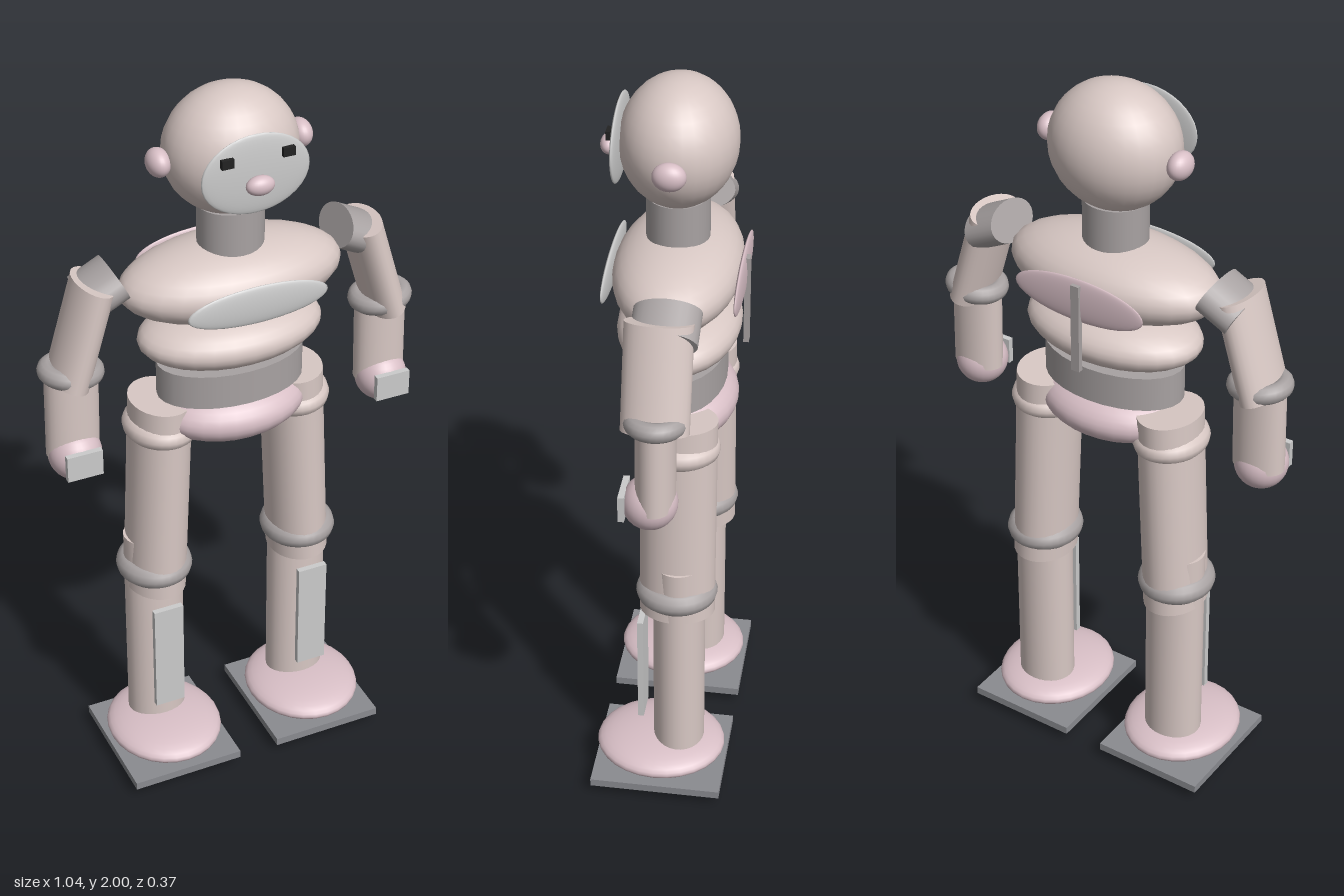
import * as THREE from 'three';

const material = (color) => new THREE.MeshStandardMaterial({ color });

export function createModel() {
  const skin = material(0xd8c8c4);
  const pink = material(0xd8bfc6);
  const joint = material(0xa8a2a2);
  const plate = material(0xcccccc);
  const sole = material(0x8a8b90);
  const black = material(0x222222);

  const model = new THREE.Group();
  model.name = 'robot';

  function add(parent, name, geometry, mat, x, y, z) {
    const mesh = new THREE.Mesh(geometry, mat);
    mesh.name = name;
    mesh.position.set(x, y, z);
    parent.add(mesh);
    return mesh;
  }

  // Ellipsoid from centre and radii
  const ball = (parent, name, mat, [x, y, z], [rx, ry, rz]) =>
    add(parent, name, new THREE.SphereGeometry(1, 28, 18).scale(rx, ry, rz), mat, x, y, z);

  const box = (parent, name, mat, [x, y, z], [w, h, d]) =>
    add(parent, name, new THREE.BoxGeometry(w, h, d), mat, x, y, z);

  // Oval tube running between two points at a fixed depth z
  function tube(parent, name, mat, [x0, y0], [x1, y1], z, rx, rz) {
    const length = Math.hypot(x1 - x0, y1 - y0);
    const geometry = new THREE.CylinderGeometry(1, 1, length, 28).scale(rx, 1, rz);
    const mesh = add(parent, name, geometry, mat, (x0 + x1) / 2, (y0 + y1) / 2, z);
    mesh.rotation.z = Math.atan2(x1 - x0, y0 - y1);
    return mesh;
  }

  // Oval ring around a limb; rx and rz are outer radii
  function ring(parent, name, mat, [x, y, z], rx, rz, thickness, tilt) {
    const geometry = new THREE.TorusGeometry(1 - thickness / rx, thickness / rx, 12, 32)
      .rotateX(Math.PI / 2).scale(rx, rx, rz);
    const mesh = add(parent, name, geometry, mat, x, y, z);
    mesh.rotation.z = tilt;
    return mesh;
  }

  // Head and face
  const head = new THREE.Group();
  head.name = 'head';
  model.add(head);
  ball(head, 'skull', skin, [0, 1.835, -0.01], [0.174, 0.165, 0.148]);
  ball(head, 'faceMask', plate, [0, 1.831, 0.135], [0.143, 0.105, 0.012]);
  ball(head, 'nose', pink, [0, 1.812, 0.161], [0.037, 0.025, 0.023]);

  // Torso stack
  const torso = new THREE.Group();
  torso.name = 'torso';
  model.add(torso);
  tube(torso, 'neck', joint, [0, 1.69], [0, 1.54], -0.008, 0.086, 0.08);
  ball(torso, 'chest', skin, [0, 1.485, -0.01], [0.3, 0.102, 0.163]);
  ball(torso, 'chestPlate', plate, [0, 1.48, 0.157], [0.19, 0.052, 0.01]);
  ball(torso, 'backPlate', pink, [0, 1.475, -0.173], [0.19, 0.06, 0.01]);
  box(torso, 'spineStrip', joint, [0, 1.4, -0.183], [0.024, 0.245, 0.014]);
  ball(torso, 'abdomen', skin, [0, 1.325, -0.013], [0.249, 0.079, 0.158]);
  tube(torso, 'waist', joint, [0, 1.255], [0, 1.16], -0.013, 0.2, 0.122);
  ball(torso, 'pelvis', pink, [0, 1.1, -0.015], [0.205, 0.082, 0.15]);

  for (const [side, s] of [['left', 1], ['right', -1]]) {
    // Eyes and ears
    box(head, side + 'Eye', black, [s * 0.08, 1.88, 0.148], [0.032, 0.023, 0.012]);
    ball(head, side + 'Ear', pink, [s * 0.189, 1.832, -0.013], [0.03, 0.036, 0.042]);

    // Arm: slanted shoulder joint, upper arm, elbow ring, forearm, hand
    const arm = new THREE.Group();
    arm.name = side + 'Arm';
    model.add(arm);
    tube(arm, 'shoulder', joint, [s * 0.305, 1.537], [s * 0.39, 1.495], -0.028, 0.053, 0.084);
    tube(arm, 'upperArm', skin, [s * 0.367, 1.542], [s * 0.445, 1.28], -0.016, 0.05, 0.085);
    ring(arm, 'elbowRing', joint, [s * 0.434, 1.305, -0.017], 0.086, 0.08, 0.025, s * 0.1);
    tube(arm, 'forearm', skin, [s * 0.434, 1.31], [s * 0.438, 1.065], -0.016, 0.071, 0.05);
    ball(arm, 'hand', pink, [s * 0.438, 1.066, -0.002], [0.07, 0.07, 0.07]);
    box(arm, 'handPlate', plate, [s * 0.438, 1.068, 0.063], [0.096, 0.072, 0.016]);

    // Leg: thigh with hip and knee rings, shin with guard, foot on a sole plate
    const leg = new THREE.Group();
    leg.name = side + 'Leg';
    model.add(leg);
    tube(leg, 'thigh', skin, [s * 0.187, 1.145], [s * 0.213, 0.56], -0.037, 0.081, 0.1);
    ring(leg, 'hipRing', skin, [s * 0.19, 1.065, -0.035], 0.097, 0.11, 0.033, s * 0.05);
    ring(leg, 'kneeRing', joint, [s * 0.214, 0.623, -0.036], 0.102, 0.108, 0.033, 0);
    tube(leg, 'shin', skin, [s * 0.214, 0.72], [s * 0.214, 0], -0.042, 0.081, 0.069);
    box(leg, 'shinGuard', plate, [s * 0.216, 0.362, 0.057], [0.084, 0.325, 0.016]);
    ball(leg, 'foot', pink, [s * 0.214, 0.086, 0.008], [0.157, 0.044, 0.176]);
    box(leg, 'sole', sole, [s * 0.214, 0.039, 0.004], [0.314, 0.022, 0.354]);
  }

  return model;
}
